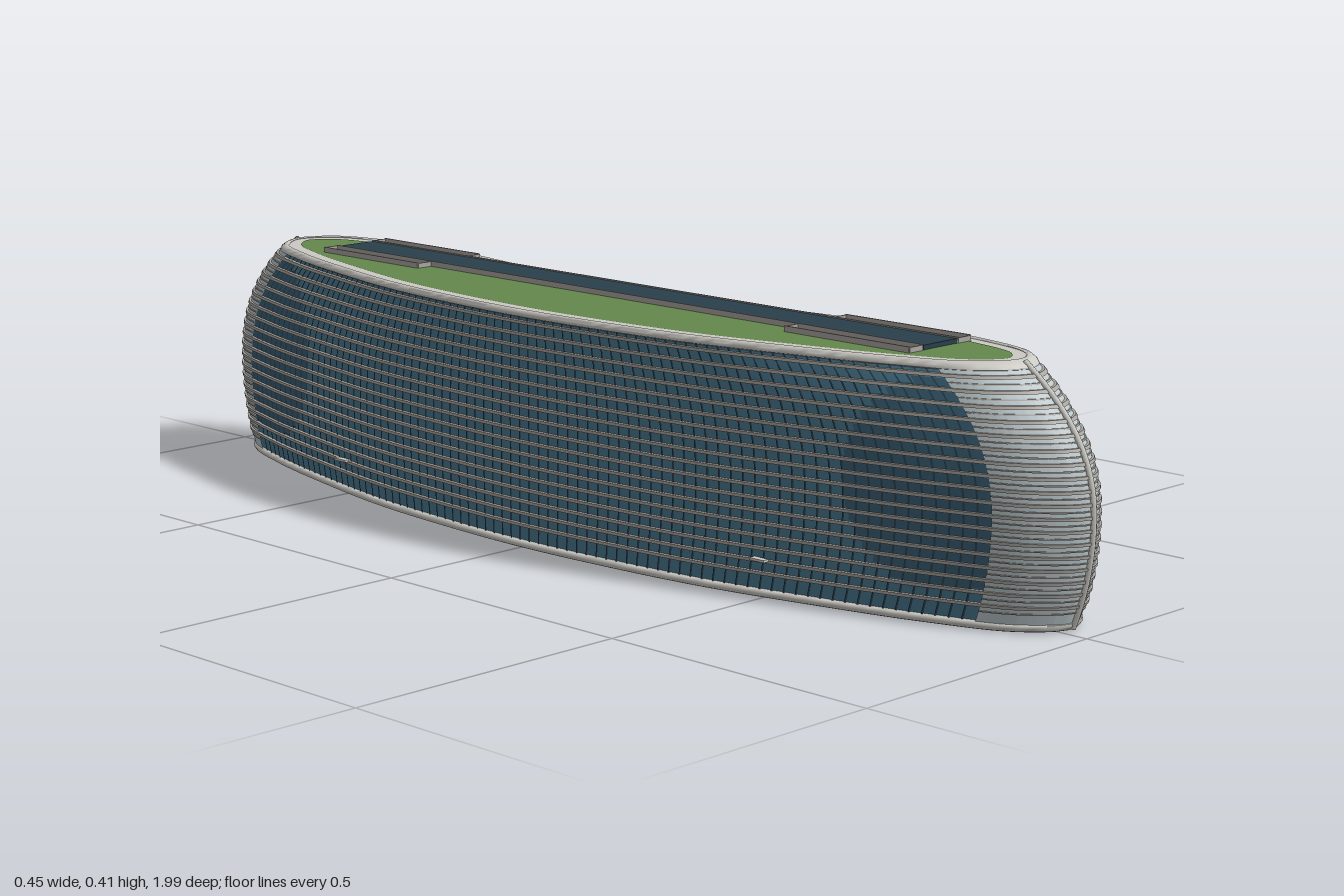
import * as THREE from 'three';
import { toCreasedNormals } from 'three/addons/utils/BufferGeometryUtils.js';

const H = 0.4;
const mat = (color) => new THREE.MeshStandardMaterial({ color, side: THREE.DoubleSide });
const M = {
  glass: mat(0x4a7890), tint: mat(0x3a6076), mullion: mat(0x2c4452), fin: mat(0xaaa6a0),
  panel: mat(0xbcc8cc), rim: mat(0xcccac4), grass: mat(0x64884c), dark: mat(0x2a3f4c), base: mat(0x18222a),
};

// plan outline: back, +z tip, front, -z tip
const half = [[-0.215, 0], [-0.207, 0.2], [-0.187, 0.4], [-0.148, 0.6], [-0.098, 0.8], [-0.045, 0.935], [0.02, 0.985],
  [0.085, 0.945], [0.12, 0.82], [0.126, 0.7], [0.119, 0.55], [0.097, 0.38], [0.075, 0.2], [0.066, 0]];
const mirrored = half.slice(1, -1).reverse().map(([x, z]) => [x, -z]);
const plan = new THREE.CatmullRomCurve3([...half, ...mirrored].map(([x, z]) => new THREE.Vector3(x, 0, z)), true, 'centripetal');
plan.arcLengthDivisions = 2000;

// the ends bulge at the lower middle and lean in towards the roof
const stretch = (y) => (y > 0.17 ? 1 - 0.14 * Math.pow((y - 0.17) / 0.23, 2.3) : 1 - 0.035 * Math.pow((0.17 - y) / 0.17, 2));

// point on the facade at outline position u, height y, pushed outwards by off
function facade(u, y, off = 0) {
  const t = ((u % 1) + 1) % 1;
  const p = plan.getPointAt(t), d = plan.getTangentAt(t), s = stretch(y);
  const x = p.x > 0 ? p.x * (1 - 0.06 * y / H) : p.x;
  const len = Math.hypot(d.x, d.z * s);
  return new THREE.Vector3(x - (d.z * s / len) * off, y, p.z * s + (d.x / len) * off);
}

// outline position of the +z tip, and of a given z on the back or front side
let tip = 0, best = 0;
for (let i = 0; i <= 1000; i++) {
  const z = plan.getPointAt(i / 2000).z;
  if (z > best) { best = z; tip = i / 2000; }
}
function uAt(z, front) {
  let lo = front ? 0.5 : 0, hi = tip;
  for (let i = 0; i < 25; i++) {
    const m = (lo + hi) / 2;
    if (plan.getPointAt(m).z < z) lo = m; else hi = m;
  }
  return lo;
}

// sweep a section of [offset, height] pairs along the outline
function sweep(section, u0 = 0, u1 = 1, n = 220, crease = 0.6) {
  const pos = [], idx = [], w = section.length;
  for (let i = 0; i <= n; i++) {
    for (const [off, y] of section) pos.push(...facade(u0 + (u1 - u0) * i / n, y, off).toArray());
  }
  for (let i = 0; i < n; i++) for (let j = 0; j < w - 1; j++) {
    const a = i * w + j, b = a + w;
    idx.push(a, b, b + 1, a, b + 1, a + 1);
  }
  const g = new THREE.BufferGeometry();
  g.setAttribute('position', new THREE.Float32BufferAttribute(pos, 3));
  g.setIndex(idx);
  return toCreasedNormals(g, crease);
}
const bar = (y, h, inner, outer) => [[outer, y - h], [outer, y + h], [inner, y + h], [inner, y - h], [outer, y - h]];
const round = (y, r) => Array.from({ length: 9 }, (_, i) => [r * Math.cos(i * Math.PI / 4), y + r * Math.sin(i * Math.PI / 4)]);
const column = (off, y0 = 0.005, y1 = 0.395, n = 18) =>
  Array.from({ length: n + 1 }, (_, i) => [off, y0 + (y1 - y0) * i / n]);

// flat slab filling the outline at height y
function slab(y, off) {
  const pts = Array.from({ length: 220 }, (_, i) => {
    const p = facade(i / 220, y, off);
    return new THREE.Vector2(p.x, -p.z);
  });
  return new THREE.ShapeGeometry(new THREE.Shape(pts)).rotateX(-Math.PI / 2).translate(0, y, 0);
}

export function createModel() {
  const model = new THREE.Group();
  const add = (name, geo, material, parent = model) => {
    const mesh = new THREE.Mesh(geo, material);
    mesh.name = name;
    parent.add(mesh);
    return mesh;
  };
  const group = (name) => {
    const g = new THREE.Group();
    g.name = name;
    model.add(g);
    return g;
  };
  const box = (name, x0, x1, y0, y1, z0, z1, material, parent) =>
    add(name, new THREE.BoxGeometry(x1 - x0, y1 - y0, Math.abs(z1 - z0))
      .translate((x0 + x1) / 2, (y0 + y1) / 2, (z0 + z1) / 2), material, parent);

  // glass skin, floor and edge rings
  add('glassWall', sweep(column(0)), M.glass);
  add('floorSlab', slab(0.003, 0), M.base);
  add('bottomRing', sweep(round(0.007, 0.007), 0, 1, 220, 1), M.rim);
  add('topRing', sweep(round(0.394, 0.007), 0, 1, 220, 1), M.rim);

  // sunshade fins on every level
  const fins = group('sunshadeFins');
  for (let k = 1; k <= 18; k++) add('fin', sweep(bar(0.02 + k * 0.02, 0.0025, -0.002, 0.007)), M.fin, fins);

  // mullions between the metal ends
  const capBack = uAt(0.875, false), capFront = uAt(0.9, true);
  const mullions = group('mullions');
  for (const [a, b] of [[-capBack, capBack], [capFront, 1 - capFront]]) {
    for (let i = 1; i < 80; i++) {
      const u = a + (b - a) * i / 80;
      add('mullion', sweep(column(0.002, 0.005, 0.395, 10), u - 0.0004, u + 0.0004, 1), M.mullion, mullions);
    }
  }

  // darker oval glazing near each end
  const tint = group('tintedGlazing');
  for (let k = 0; k < 32; k++) {
    const y = 0.055 + k * 0.01, e = (y + 0.005 - 0.215) / 0.165;
    const r = 0.155 * Math.sqrt(Math.max(0, 1 - e * e)), s = stretch(y);
    for (const front of [false, true]) {
      const a = uAt((0.79 - r) / s, front), b = uAt(Math.min(0.9, (0.79 + r) / s), front);
      const [lo, hi] = [Math.min(a, b), Math.max(a, b)];
      const strip = [[0.0012, y], [0.0012, y + 0.01]];
      add('tintStrip', sweep(strip, lo, hi, 14), M.tint, tint);
      add('tintStrip', sweep(strip, 1 - hi, 1 - lo, 14), M.tint, tint);
    }
  }

  // metal-clad ends with fine ribs and a vertical spine
  for (const side of [1, -1]) {
    const end = group(side > 0 ? 'frontEnd' : 'backEnd');
    const [u0, u1] = side > 0 ? [capBack, capFront] : [1 - capFront, 1 - capBack];
    add('endPanel', sweep(column(0.003), u0, u1, 60), M.panel, end);
    for (let k = 0; k < 19; k++) add('endRib', sweep(bar(0.03 + k * 0.02, 0.001, 0.002, 0.005), u0, u1, 50), M.fin, end);
    const path = column(0.005, 0.003, 0.398, 14).map(([o, y]) => facade(side > 0 ? tip : 1 - tip, y, o));
    add('spine', new THREE.TubeGeometry(new THREE.CatmullRomCurve3(path), 40, 0.005, 8), M.rim, end);
  }

  // green roof with pale rim and dark central strip
  add('roofRim', sweep([[0.003, 0.398], [-0.03, 0.398]]), M.rim);
  add('greenRoof', slab(0.3985, -0.026), M.grass);
  box('roofStrip', -0.018, 0.062, 0.398, 0.406, -0.69, 0.69, M.dark);
  const rails = group('roofRails');
  for (const x of [-0.021, 0.064]) box('stripEdge', x - 0.0015, x + 0.0015, 0.398, 0.408, -0.69, 0.69, M.fin, rails);
  for (const s of [1, -1]) {
    for (const [a, b] of [[-0.052, -0.021], [0.064, 0.094]]) {
      const outer = a < 0 ? a : b;
      box('longRail', outer - 0.0015, outer + 0.0015, 0.398, 0.408, s * 0.435, s * 0.69, M.fin, rails);
      for (const z of [0.435, 0.69]) box('crossRail', a, b, 0.398, 0.407, s * z - 0.0015, s * z + 0.0015, M.fin, rails);
    }
  }

  // entrance canopies on the concave side, small ledges on the other
  for (const s of [1, -1]) {
    const canopy = group('entranceCanopy');
    box('canopyRoof', 0.15, 0.225, 0.06, 0.066, s * 0.44 - 0.052, s * 0.44 + 0.052, M.rim, canopy);
    box('entranceDoor', 0.163, 0.167, 0.005, 0.06, s * 0.44 - 0.03, s * 0.44 + 0.03, M.dark, canopy);
    for (const d of [-0.028, 0.028]) {
      box('canopyPost', 0.206, 0.21, 0.005, 0.06, s * 0.44 + d - 0.002, s * 0.44 + d + 0.002, M.fin, canopy);
    }
    box('backLedge', -0.184, -0.172, 0.061, 0.065, s * 0.5 - 0.015, s * 0.5 + 0.015, M.rim);
  }
  return model;
}
